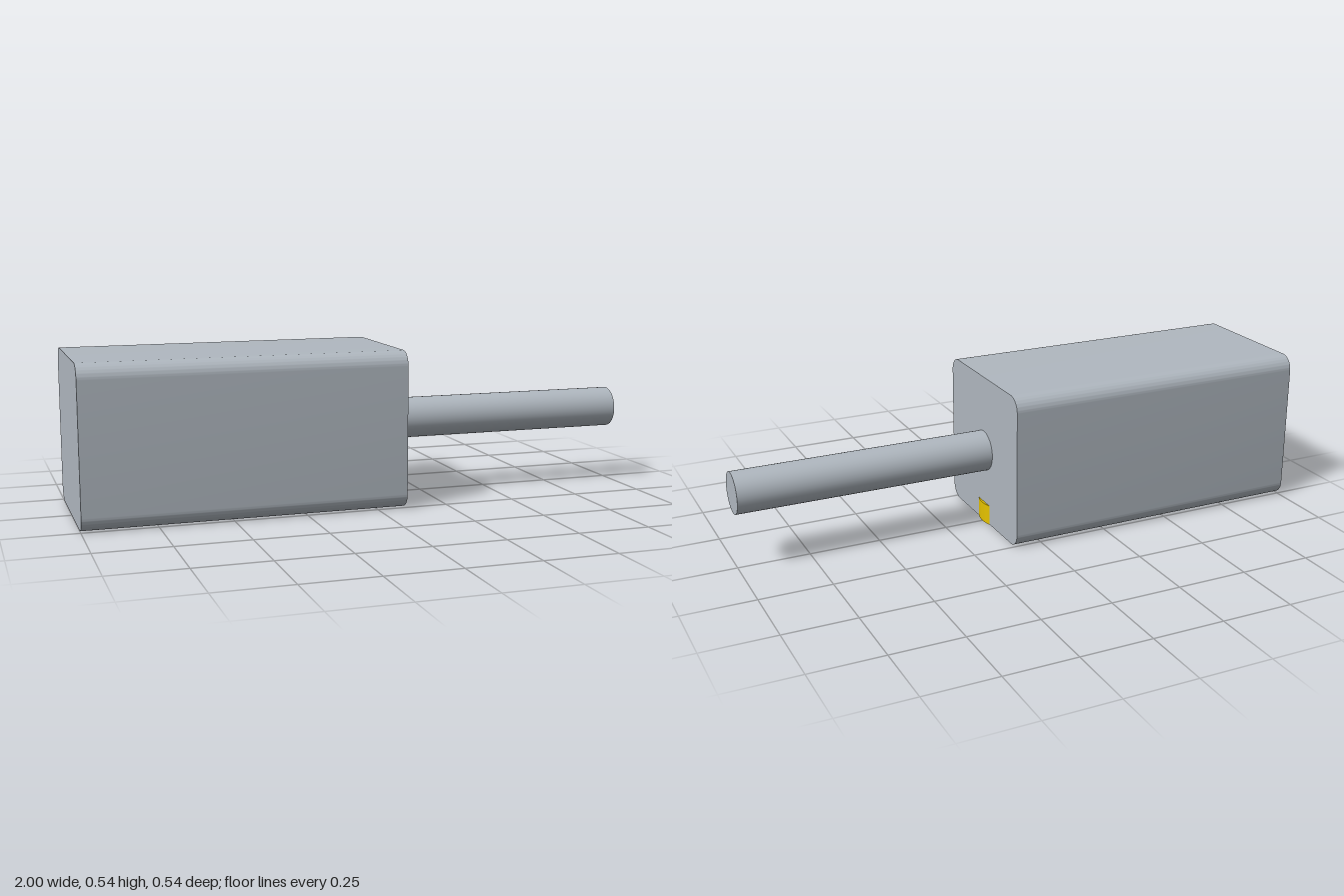
import * as THREE from 'three';
import { toCreasedNormals } from 'three/addons/utils/BufferGeometryUtils.js';

const steel = new THREE.MeshStandardMaterial({ name: 'steel grey', color: 0xb0b8c0 });
const gold = new THREE.MeshStandardMaterial({ name: 'gold', color: 0xe6c200 });

function add(parent, name, geometry, material) {
  const mesh = new THREE.Mesh(geometry, material);
  mesh.name = name;
  parent.add(mesh);
  return mesh;
}

// Square with rounded corners, centred on the origin
function roundedSquare(h, r) {
  const s = new THREE.Shape();
  s.moveTo(-h + r, -h);
  s.lineTo(h - r, -h);
  s.absarc(h - r, -h + r, r, -Math.PI / 2, 0);
  s.absarc(h - r, h - r, r, 0, Math.PI / 2);
  s.absarc(-h + r, h - r, r, Math.PI / 2, Math.PI);
  s.absarc(-h + r, -h + r, r, Math.PI, Math.PI * 1.5);
  return s;
}

export function createModel() {
  const model = new THREE.Group();
  model.name = 'mallet';

  // Head: long rounded block
  let head = new THREE.ExtrudeGeometry(roundedSquare(0.27, 0.05), {
    depth: 1.1, bevelEnabled: false, curveSegments: 10,
  });
  head = toCreasedNormals(head, 0.5);
  head.rotateY(Math.PI / 2);
  add(model, 'head', head, steel).position.set(-1, 0.271, 0);

  // Handle: round bar out of the end of the head
  const handle = new THREE.CylinderGeometry(0.072, 0.072, 0.92, 40);
  handle.rotateZ(Math.PI / 2);
  add(model, 'handle', handle, steel).position.set(0.54, 0.27, 0);

  // Slightly bowed tab at the foot of the handle end
  const tab = new THREE.Shape();
  tab.moveTo(0.099, -0.048);
  tab.quadraticCurveTo(0.117, 0, 0.099, 0.048);
  tab.closePath();
  let tabGeo = new THREE.ExtrudeGeometry(tab, { depth: 0.072, bevelEnabled: false, curveSegments: 12 });
  tabGeo = toCreasedNormals(tabGeo, 0.5);
  tabGeo.rotateX(Math.PI / 2);
  add(model, 'endTab', tabGeo, gold).position.y = 0.072;

  // Five-armed inlay on the underside
  const inlay = new THREE.Group();
  inlay.name = 'undersideInlay';
  inlay.position.set(-0.56, 0.003, 0);
  const arm = new THREE.Shape();
  arm.moveTo(0, 0);
  arm.lineTo(0.05, -0.01);
  arm.lineTo(0.12, -0.026);
  arm.quadraticCurveTo(0.165, 0, 0.12, 0.026);
  arm.lineTo(0.05, 0.01);
  arm.closePath();
  const armGeo = new THREE.ExtrudeGeometry(arm, { depth: 0.003, bevelEnabled: false });
  armGeo.rotateX(Math.PI / 2);
  for (let i = 0; i < 5; i++) {
    const angle = THREE.MathUtils.degToRad(190 + i * 72);
    add(inlay, 'inlayArm', armGeo, gold).rotation.y = -angle;
  }
  model.add(inlay);

  return model;
}
